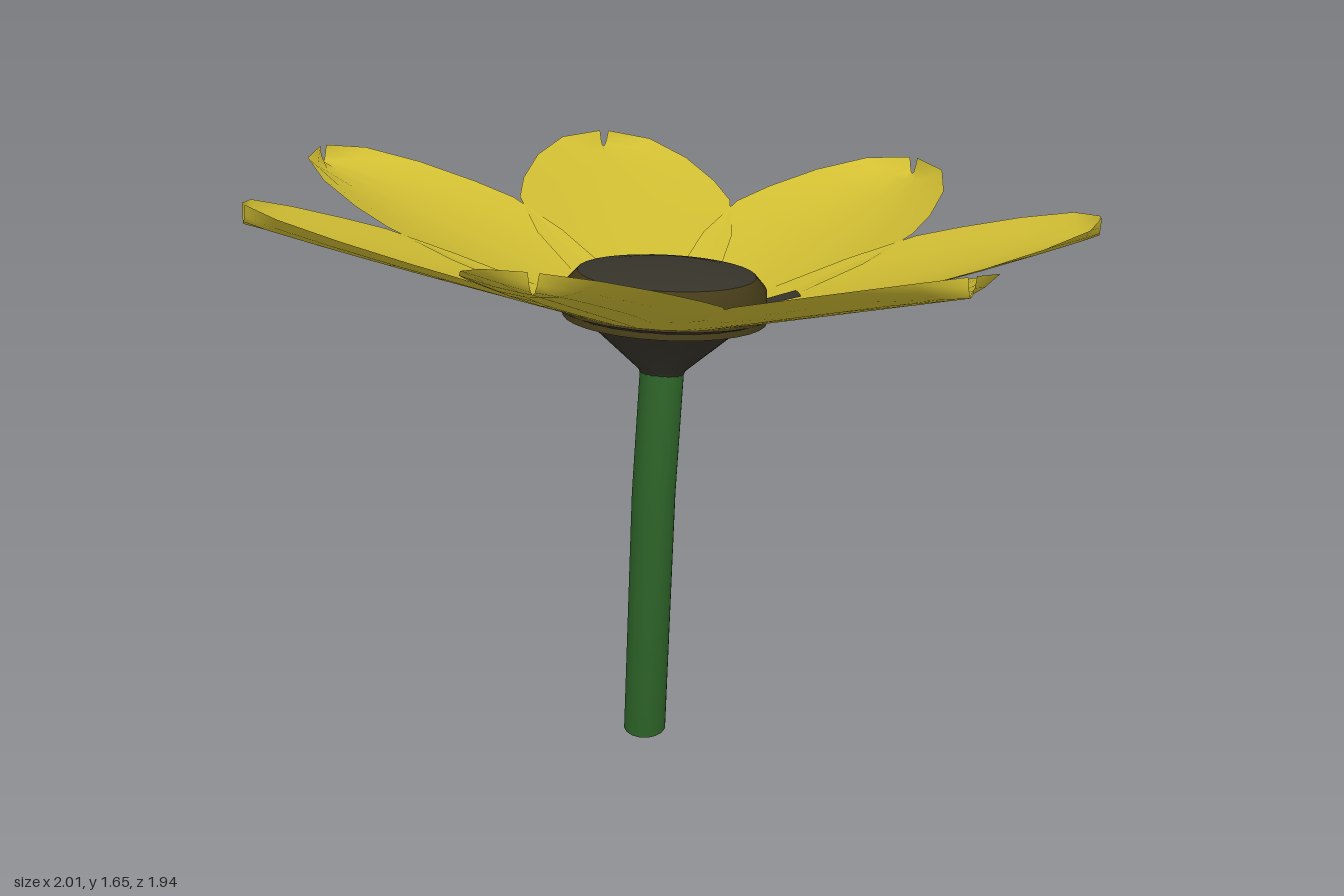
import * as THREE from 'three';
import { toCreasedNormals } from 'three/addons/utils/BufferGeometryUtils.js';

const mat = (name, color, side = THREE.FrontSide) => {
  const m = new THREE.MeshStandardMaterial({ color, side });
  m.name = name;
  return m;
};

const part = (name, geometry, material) => {
  const m = new THREE.Mesh(geometry, material);
  m.name = name;
  return m;
};

const lathe = (points, segments = 24, start = 0, length = Math.PI * 2) =>
  new THREE.LatheGeometry(points.map(([r, y]) => new THREE.Vector2(r, y)), segments, start, length);

// Height of the shallow petal cone at a distance from the flower's axis
const petalHeight = (r) => 0.14 + 0.3 * (r - 0.2);

// Stem: a cylinder whose three rings are moved onto a bent path
function stemGeometry() {
  const path = [
    new THREE.Vector3(-0.035, 0, 0.085),
    new THREE.Vector3(-0.008, 0.71, 0.085),
    new THREE.Vector3(-0.005, 1.03, 0.008),
  ];
  const tilt = [0, 0.12, 0.22];
  const g = new THREE.CylinderGeometry(0.055, 0.055, 1, 16, 2);
  const p = g.attributes.position;
  for (let i = 0; i < p.count; i++) {
    const k = Math.round((p.getY(i) + 0.5) * 2);
    const c = path[k];
    const z = p.getZ(i);
    p.setXYZ(i, c.x + p.getX(i), c.y + z * tilt[k], c.z + z);
  }
  return toCreasedNormals(g, 0.7);
}

// Petal: rows of [distance from axis, half width], cupped upward at the edges
function petalGeometry() {
  const rows = [[0.06, 0.06], [0.25, 0.18], [0.45, 0.26], [0.62, 0.287],
    [0.73, 0.265], [0.87, 0.21], [0.985, 0.125], [1.03, 0.012]];
  const across = 6;
  const g = new THREE.PlaneGeometry(1, 1, across, rows.length - 1);
  const p = g.attributes.position;
  for (let i = 0; i < p.count; i++) {
    const [r, w] = rows[Math.floor(i / (across + 1))];
    const u = (i % (across + 1)) / across * 2 - 1;
    const cup = 0.045 * u * u * Math.min(1, r / 0.6);
    p.setXYZ(i, -u * w, petalHeight(r) + cup, r);
  }
  g.computeVertexNormals();
  return g;
}

export function createModel() {
  const yellow = mat('petalYellow', 0xd2bf33, THREE.DoubleSide);
  const green = mat('stemGreen', 0x2c6127);
  const dark = mat('heartDark', 0x38352c, THREE.DoubleSide);
  const olive = mat('rimOlive', 0x453b19);

  const model = new THREE.Group();
  model.name = 'flower';
  model.add(part('stem', stemGeometry(), green));

  // Flower head, leaning back on the bent stem
  const head = new THREE.Group();
  head.name = 'flowerHead';
  head.position.set(-0.005, 1.02, 0.01);
  head.rotation.x = -0.2;
  model.add(head);

  const petal = petalGeometry();
  for (let i = 0; i < 7; i++) {
    const m = part('petal' + (i + 1), petal, yellow);
    m.rotation.y = i * Math.PI * 2 / 7 - 0.02;
    head.add(m);
  }

  // Calyx cone under the petals
  head.add(part('calyx', lathe([[0.05, -0.02], [0.06, 0], [0.2, 0.125], [0.28, 0.158]]), dark));

  // Heart: rim wall and low dome
  head.add(part('heartRim', lathe([[0.25, 0.13], [0.245, 0.21], [0.218, 0.24]], 32), olive));
  head.add(part('heart', lathe([[0.218, 0.24], [0.15, 0.252], [0.07, 0.258], [0, 0.26]], 32), dark));

  // Scraps of calyx showing through between the petals: [start, sweep, outer radius]
  const scraps = [[0.42, 0.5, 0.32], [1.83, 0.22, 0.33], [-1.0, 0.3, 0.29]];
  scraps.forEach(([start, sweep, r], i) => {
    const ring = [[0.23, petalHeight(0.23) + 0.018], [r, petalHeight(r) + 0.016]];
    head.add(part('calyxScrap' + (i + 1), lathe(ring, 4, start, sweep), dark));
  });

  return model;
}
